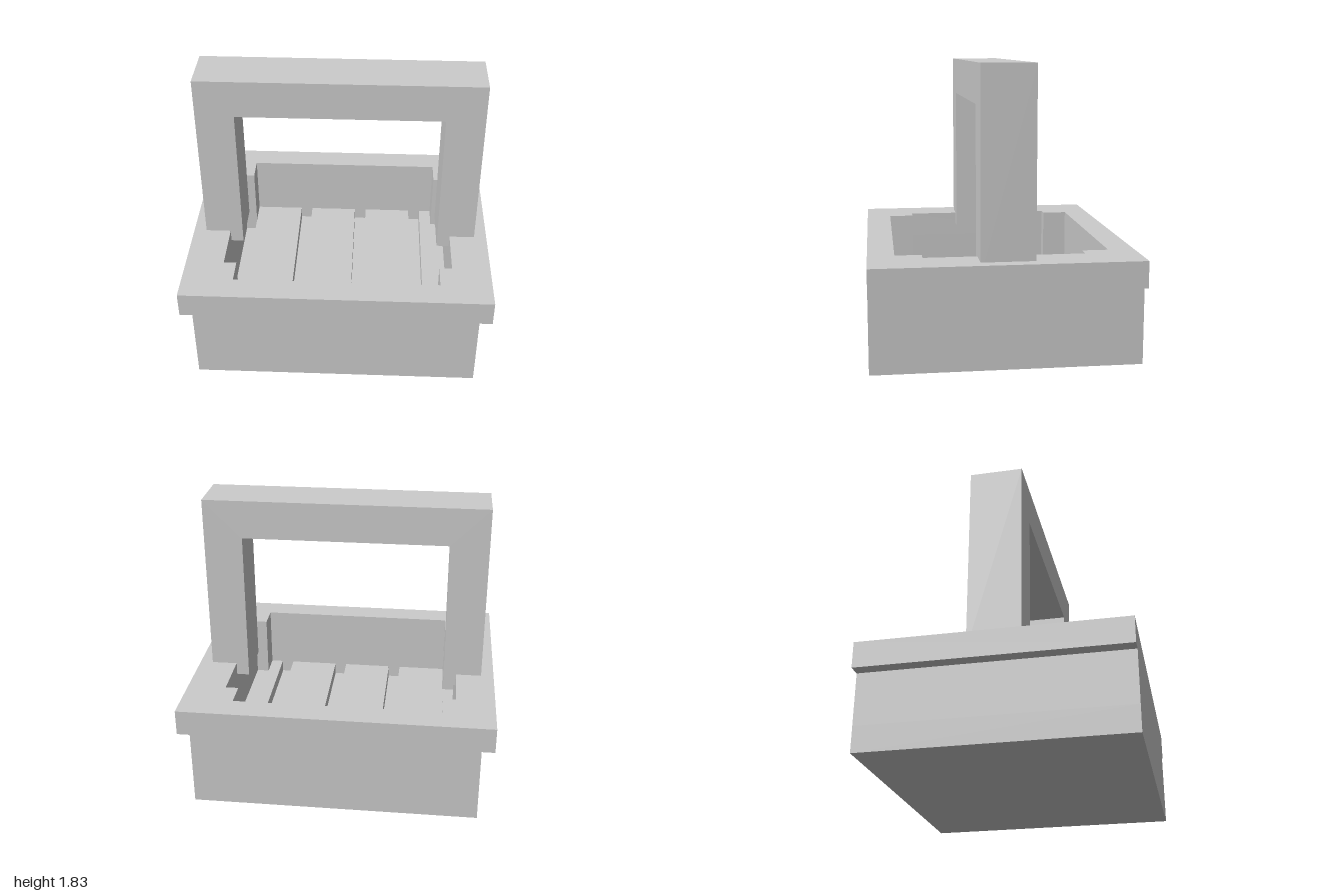
import * as THREE from 'three';

// One module of the block grid
const U = 1 / 12;
const material = new THREE.MeshStandardMaterial({ color: 0xcccccc, flatShading: true });

function add(group, name, geometry) {
  const mesh = new THREE.Mesh(geometry, material);
  mesh.name = name;
  group.add(mesh);
  return mesh;
}

// Box given by its limits, in modules
function block(x0, x1, y0, y1, z0, z1) {
  return new THREE.BoxGeometry((x1 - x0) * U, (y1 - y0) * U, (z1 - z0) * U)
    .translate((x0 + x1) / 2 * U, (y0 + y1) / 2 * U, (z0 + z1) / 2 * U);
}

const outline = (points) => points.map(([x, y]) => new THREE.Vector2(x * U, y * U));

// Horizontal frame around the cross-shaped well
function frame(halfX, halfZ, y0, y1) {
  const shape = new THREE.Shape(outline([[-halfX, -halfZ], [halfX, -halfZ], [halfX, halfZ], [-halfX, halfZ]]));
  shape.holes.push(new THREE.Path(outline([
    [-8, -8], [-8, -6], [-9, -6], [-9, 6], [-8, 6], [-8, 8],
    [8, 8], [8, 6], [9, 6], [9, -6], [8, -6], [8, -8],
  ])));
  return new THREE.ExtrudeGeometry(shape, { depth: (y1 - y0) * U, bevelEnabled: false })
    .rotateX(-Math.PI / 2)
    .translate(0, y0 * U, 0);
}

export function createModel() {
  const model = new THREE.Group();
  model.name = 'basket';

  // Tub: bottom slab, walls and a rim overhanging at both ends
  add(model, 'bottom', block(-11, 11, 0, 2, -10, 10));
  add(model, 'walls', frame(11, 10, 2, 6));
  add(model, 'rim', frame(12, 10, 6, 8));

  // Floor slats with one-module gaps; the last runs under the end wall
  const slats = new THREE.Group();
  slats.name = 'floorSlats';
  for (let x = -8; x < 9; x += 5) {
    add(slats, 'slat', block(x, Math.min(x + 4, 9), 2, 3, -8, 8));
  }
  model.add(slats);

  // Square arch handle, its feet sunk into the rim
  const arch = new THREE.Shape(outline([
    [-11, 7], [-8, 7], [-8, 19], [8, 19], [8, 7], [11, 7], [11, 22], [-11, 22],
  ]));
  add(model, 'handle', new THREE.ExtrudeGeometry(arch, { depth: 4 * U, bevelEnabled: false })
    .translate(0, 0, -2 * U));

  return model;
}
